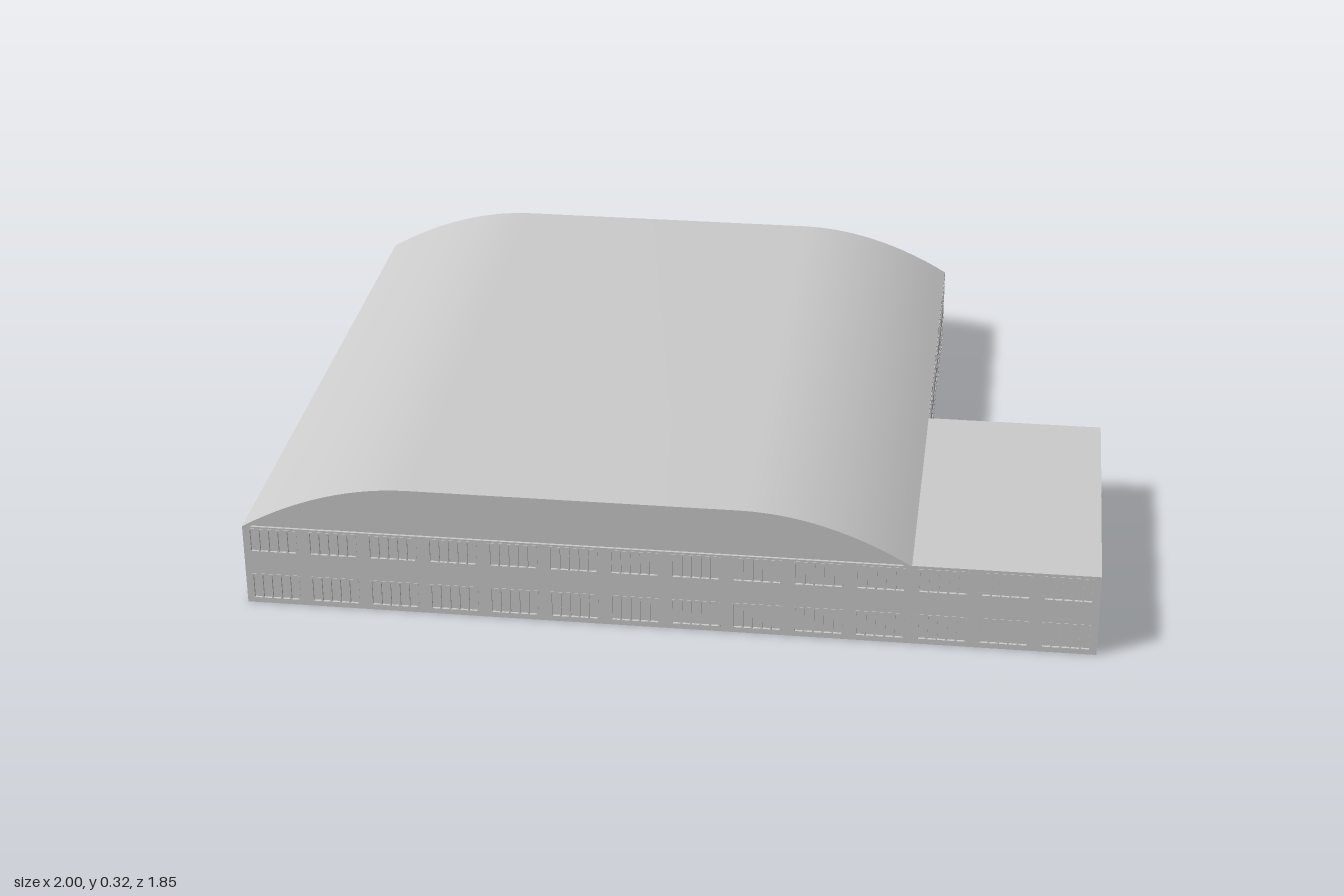
import * as THREE from 'three';
import { mergeGeometries, toCreasedNormals } from 'three/addons/utils/BufferGeometryUtils.js';

const mat = new THREE.MeshStandardMaterial({ color: 0xcccccc, side: THREE.DoubleSide });
const H = 0.205, T = 0.014;                 // wall height and thickness
const X0 = -1, X1 = 0.57, Z0 = -0.72, Z1 = 0.92; // hall footprint

function add(parent, name, geo, x = 0, y = 0, z = 0) {
  const m = new THREE.Mesh(geo, mat);
  m.name = name;
  m.position.set(x, y, z);
  parent.add(m);
  return m;
}

function box(w, h, d, x, y, z) {
  return new THREE.BoxGeometry(w, h, d).translate(x, y, z);
}

function rectangle(path, a, b, c, d) {
  path.moveTo(a, b);
  path.lineTo(c, b);
  path.lineTo(c, d);
  path.lineTo(a, d);
  path.closePath();
  return path;
}

// Wall from u0 to u1 with two rows of mullioned windows, one pair per bay
function windowWall(u0, u1, bays) {
  const shape = rectangle(new THREE.Shape(), u0, 0, u1, H);
  const bars = [];
  const pitch = (u1 - u0) / bays, w = pitch * 0.78;
  for (let i = 0; i < bays; i++) {
    const c = u0 + (i + 0.5) * pitch;
    for (const [lo, hi] of [[0.012, 0.077], [0.138, 0.198]]) {
      shape.holes.push(rectangle(new THREE.Path(), c - w / 2, lo, c + w / 2, hi));
      const mid = (lo + hi) / 2;
      bars.push(box(w, hi - lo, 0.004, c, mid, 0));
      for (let k = 0; k <= 5; k++) {
        bars.push(box(0.004, hi - lo, T + 0.002, c + (k / 5 - 0.5) * w, mid, 0));
      }
      bars.push(box(w, 0.004, T + 0.002, c, lo, 0), box(w, 0.004, T + 0.002, c, hi, 0));
    }
  }
  const g = new THREE.Group();
  add(g, 'wallPanel', new THREE.ExtrudeGeometry(shape, { depth: T, bevelEnabled: false }), 0, 0, -T / 2);
  add(g, 'windows', mergeGeometries(bars));
  return g;
}

// Wall with a low doorway cut from its foot
function doorWall(u0, u1, d0, d1, doorHeight) {
  const s = new THREE.Shape();
  [[u0, 0], [d0, 0], [d0, doorHeight], [d1, doorHeight], [d1, 0], [u1, 0], [u1, H], [u0, H]]
    .forEach(([x, y], i) => (i ? s.lineTo(x, y) : s.moveTo(x, y)));
  return new THREE.ExtrudeGeometry(s, { depth: T, bevelEnabled: false });
}

// Roof line: curved shoulders either side of a flat crown
function roofLine(drop = 0) {
  const pts = [], n = 14, span = 0.4;
  for (let i = 0; i <= n; i++) {
    const t = i / n;
    pts.push(new THREE.Vector2(X0 + span * t, H + 0.12 * (1 - (1 - t) ** 2) - drop));
  }
  const mirrored = pts.map(p => new THREE.Vector2(X0 + X1 - p.x, p.y)).reverse();
  return pts.concat(mirrored);
}

function archBand(top, bottom, depth) {
  const s = new THREE.Shape([...roofLine(top), ...roofLine(bottom).reverse()]);
  return toCreasedNormals(new THREE.ExtrudeGeometry(s, { depth, bevelEnabled: false }), 0.5);
}

export function createModel() {
  const model = new THREE.Group();
  model.name = 'hallBuilding';

  // Walls running along x: name, plane z, start, end, bays
  const e = T / 2;
  for (const [name, z, a, b, bays] of [
    ['frontWall', Z1 - e, -1, 1, 14],
    ['backWallRight', Z0 + e, X0, -0.41, 4],
    ['backWallLeft', Z0 + e, 0.26, X1, 2],
    ['annexBackWall', 0.18 + e, X1, 1, 3],
  ]) {
    const w = windowWall(a, b, bays);
    w.name = name;
    w.position.z = z;
    model.add(w);
  }

  // Walls running along z, with gateways left between the segments
  for (const [name, x, a, b, bays] of [
    ['rightWallBack', X0 + e, Z0, -0.01, 4],
    ['rightWallFront', X0 + e, 0.27, Z1, 4],
    ['leftWall', X1 - e, Z0, 0.18, 5],
    ['annexSideBack', 1 - e, 0.18, 0.53, 2],
    ['annexSideFront', 1 - e, 0.73, Z1, 1],
    ['porchRightWall', -0.41 + e, -0.925, Z0, 1],
    ['porchLeftWall', 0.26 - e, -0.925, Z0, 1],
  ]) {
    const w = windowWall(a, b, bays);
    w.name = name;
    w.position.x = x;
    w.rotation.y = -Math.PI / 2;
    model.add(w);
  }

  // Rear porch
  add(model, 'porchBackWall', doorWall(-0.41, 0.26, -0.255, 0.1, 0.075), 0, 0, -0.925);
  add(model, 'porchInnerWall', doorWall(-0.41, 0.26, -0.255, 0.1, 0.075), 0, 0, Z0);
  add(model, 'porchRoof', box(0.67, 0.008, 0.205, -0.075, H - 0.004, -0.8225));

  // Flat annex roof with beams
  add(model, 'annexRoof', box(1 - X1, 0.008, Z1 - 0.18, (1 + X1) / 2, H - 0.002, (Z1 + 0.18) / 2));
  const beams = [];
  for (let i = 1; i < 6; i++) beams.push(box(1 - X1, 0.012, 0.008, (1 + X1) / 2, H - 0.01, 0.18 + i * 0.123));
  add(model, 'annexBeams', mergeGeometries(beams));

  // Vaulted roof and the gable panels beneath its ends
  add(model, 'vaultedRoof', archBand(0, 0.01, Z1 - Z0), 0, 0, Z0);
  const gable = new THREE.ExtrudeGeometry(new THREE.Shape(roofLine(0.005)), { depth: 0.008, bevelEnabled: false });
  add(model, 'frontGable', gable, 0, 0, Z1 - 0.014);
  add(model, 'backGable', gable, 0, 0, Z0 + 0.006);

  // Arched ribs and lengthwise purlins under the vault
  const rib = archBand(0.009, 0.02, 0.008);
  const ribs = 13;
  for (let i = 1; i < ribs; i++) add(model, 'roofRib', rib, 0, 0, Z0 + (i / ribs) * (Z1 - Z0) - 0.004);
  const line = roofLine(0.014), purlins = [];
  for (const i of [3, 7, 12, 17, 22, 26]) {
    purlins.push(box(0.008, 0.01, Z1 - Z0 - 0.04, line[i].x, line[i].y, (Z0 + Z1) / 2));
  }
  for (const x of [-0.4, -0.215, -0.03]) {
    purlins.push(box(0.008, 0.01, Z1 - Z0 - 0.04, x, H + 0.106, (Z0 + Z1) / 2));
  }
  add(model, 'roofPurlins', mergeGeometries(purlins));

  return model;
}
